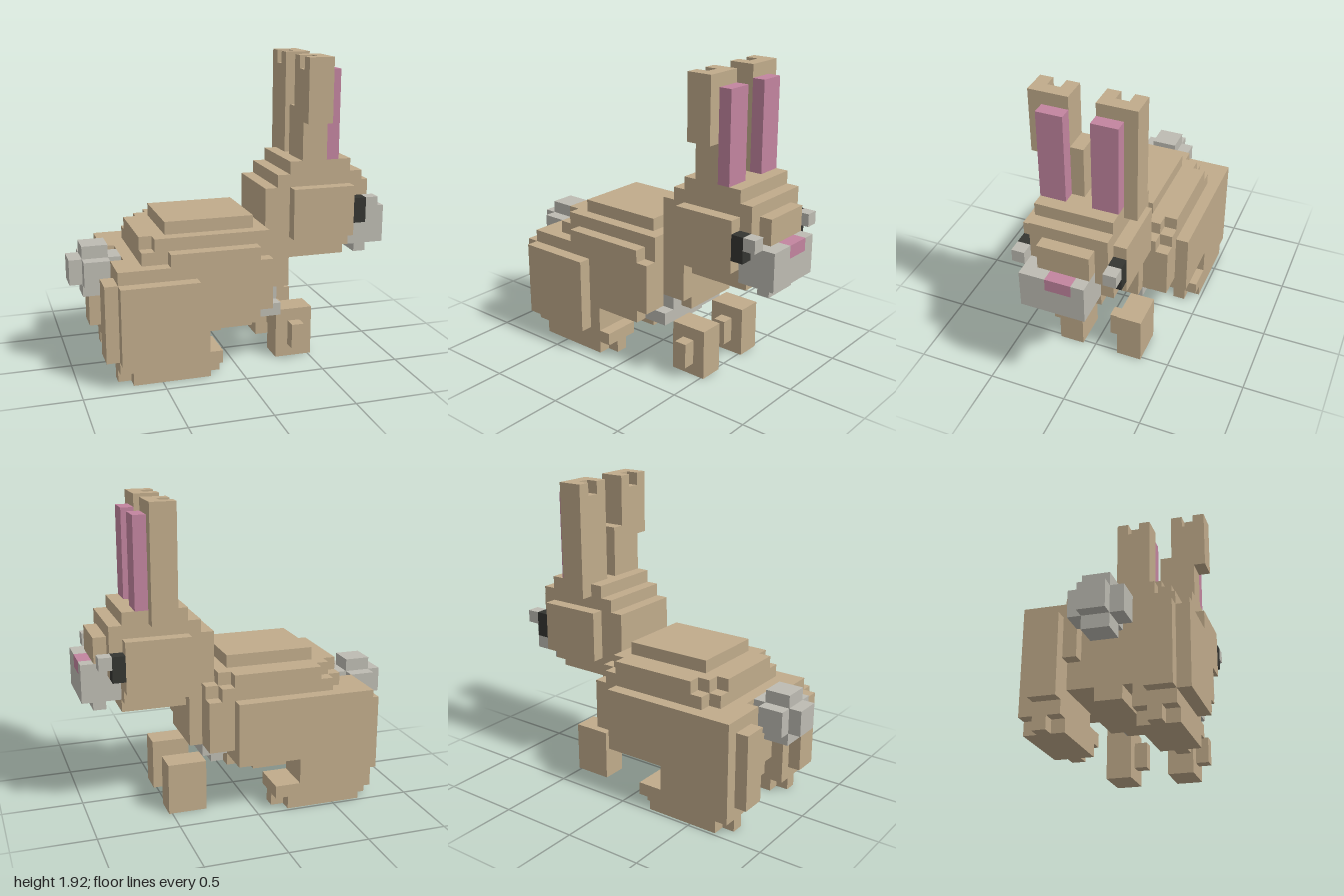
import * as THREE from 'three';

const U = 0.08; // edge of one block

export function createModel() {
  const model = new THREE.Group();
  model.name = 'rabbit';
  const material = (name, color) => {
    const m = new THREE.MeshStandardMaterial({ color });
    m.name = name;
    return m;
  };
  const tan = material('tan fur', 0xc0ab8b);
  const grey = material('pale fur', 0xbdbbb2);
  const pink = material('pink', 0xc2849f);
  const black = material('eye black', 0x343531);

  const part = (name) => {
    const g = new THREE.Group();
    g.name = name;
    model.add(g);
    return g;
  };
  // Box given by its limits in blocks: x from the tail tip, y from the floor, z from the middle
  const box = (group, mat, x0, x1, y0, y1, z0, z1) => {
    const geo = new THREE.BoxGeometry((x1 - x0) * U, (y1 - y0) * U, (z1 - z0) * U);
    const mesh = new THREE.Mesh(geo, mat);
    mesh.name = group.name + 'Block';
    mesh.position.set(((x0 + x1) / 2) * U - 1, ((y0 + y1) / 2) * U, ((z0 + z1) / 2) * U);
    group.add(mesh);
  };

  // Stepped body, from the back down to the underside
  const body = part('body');
  box(body, tan, 7, 14, 11, 12, -3, 3);
  box(body, tan, 6, 15, 10, 11, -4, 4);
  box(body, tan, 5, 6, 10, 11, -3, 3);
  box(body, tan, 7, 14, 10, 11, -5, -4);
  box(body, tan, 5, 15, 9, 10, -4, 4);
  box(body, tan, 7, 14, 9, 10, 4, 5);
  box(body, tan, 6, 15, 9, 10, -5, -4);
  box(body, tan, 3, 15, 5, 9, 2, 5);
  box(body, tan, 3, 15, 5, 9, -5, -2);
  box(body, tan, 4, 15, 5, 9, -2, 2);
  box(body, tan, 4, 14, 4, 5, -5, 5);
  box(body, tan, 4, 14, 3, 4, -3, 3);
  box(body, tan, 4, 12, 2, 3, -1, 1);
  box(body, tan, 15, 16, 5, 9, -5, 2);
  box(body, tan, 15, 16, 6, 10, -4, 3);

  // Pale belly and chest
  const belly = part('belly');
  box(belly, grey, 14, 15, 3, 4, -2, 1);
  box(belly, grey, 14, 16, 4, 5, -3, 4);
  box(belly, grey, 15, 16, 5, 6, 2, 3);

  // Hind legs: a haunch, a long foot and a sole with cut corners
  const hindLegs = part('hindLegs');
  for (const [z0, z1] of [[2, 5], [-6, -3]]) {
    box(hindLegs, tan, 3, z0 > 0 ? 10 : 9, 2, 5, z0, z1);
    box(hindLegs, tan, 3, 11, 1, 2, z0, z1);
    box(hindLegs, tan, 4, 10, 0, 1, z0, z1);
    box(hindLegs, tan, 3, 11, 0, 1, z0 + 1, z1 - 1);
  }
  const haunches = part('haunches');
  box(haunches, tan, 3, 9, 2, 8, 5, 6);
  box(haunches, tan, 3, 9, 2, 9, -6, -5);
  box(haunches, tan, 9, 14, 4, 9, -6, -5);
  for (const z of [3, -5]) box(haunches, tan, 2, 3, 2, 8, z, z + 2);

  // Front legs
  const frontLegs = part('frontLegs');
  for (const z of [1, -4]) {
    box(frontLegs, tan, 16, 19, 0, 4, z, z + 2);
    box(frontLegs, tan, 17, 18, 1, 3, z + 2, z + 3);
  }

  // Round tail
  const tail = part('tail');
  box(tail, grey, 0, 4, 7, 9, -1, 1);
  box(tail, grey, 1, 3, 6, 10, -1, 1);
  box(tail, grey, 1, 3, 7, 9, -2, 2);

  // Neck
  const neck = part('neck');
  box(neck, tan, 15, 17, 6, 14, -3, 3);
  box(neck, tan, 16, 17, 5, 6, -3, 2);

  // Head
  const head = part('head');
  box(head, tan, 17, 22, 10, 14, -4, 4);
  box(head, tan, 16, 23, 11, 15, -3, 3);
  box(head, tan, 17, 22, 9, 11, -3, 3);
  box(head, tan, 17, 22, 15, 16, -3, 3);
  box(head, tan, 17, 22, 8, 9, -2, 2);
  box(head, tan, 23, 24, 12, 14, -2, 2);

  // Muzzle, chin and nose
  const muzzle = part('muzzle');
  box(muzzle, grey, 22, 25, 9, 11, -2, 3);
  box(muzzle, grey, 23, 25, 11, 12, -2, -1);
  box(muzzle, grey, 23, 25, 11, 12, 1, 3);
  box(muzzle, grey, 23, 24, 8, 9, -1, 2);
  box(part('nose'), pink, 23, 25, 11, 12, -1, 1);

  // Eyes with a pale block in front
  const eyes = part('eyes');
  for (const z of [3, -4]) {
    box(eyes, black, 22, 23, 11, 13, z, z + 1);
    box(eyes, grey, 23, 24, 12, 13, z, z + 1);
  }

  // Ears, notched at the top of the back
  const leftEar = part('leftEar');
  box(leftEar, tan, 18, 20, 16, 23, 1, 3);
  box(leftEar, tan, 18, 20, 19, 23, 3, 4);
  box(leftEar, tan, 18, 20, 16, 20, 0, 1);
  const rightEar = part('rightEar');
  box(rightEar, tan, 18, 20, 15, 23, -4, -1);
  for (const [ear, z] of [[leftEar, 1], [rightEar, -4]]) {
    box(ear, tan, 19, 20, 23, 24, z, z + 3);
    box(ear, tan, 18, 19, 23, 24, z, z + 1);
    box(ear, tan, 18, 19, 23, 24, z + 2, z + 3);
  }
  const innerEars = part('innerEars');
  for (const z of [1, -3]) box(innerEars, pink, 20, 21, 16, 23, z, z + 2);

  return model;
}
